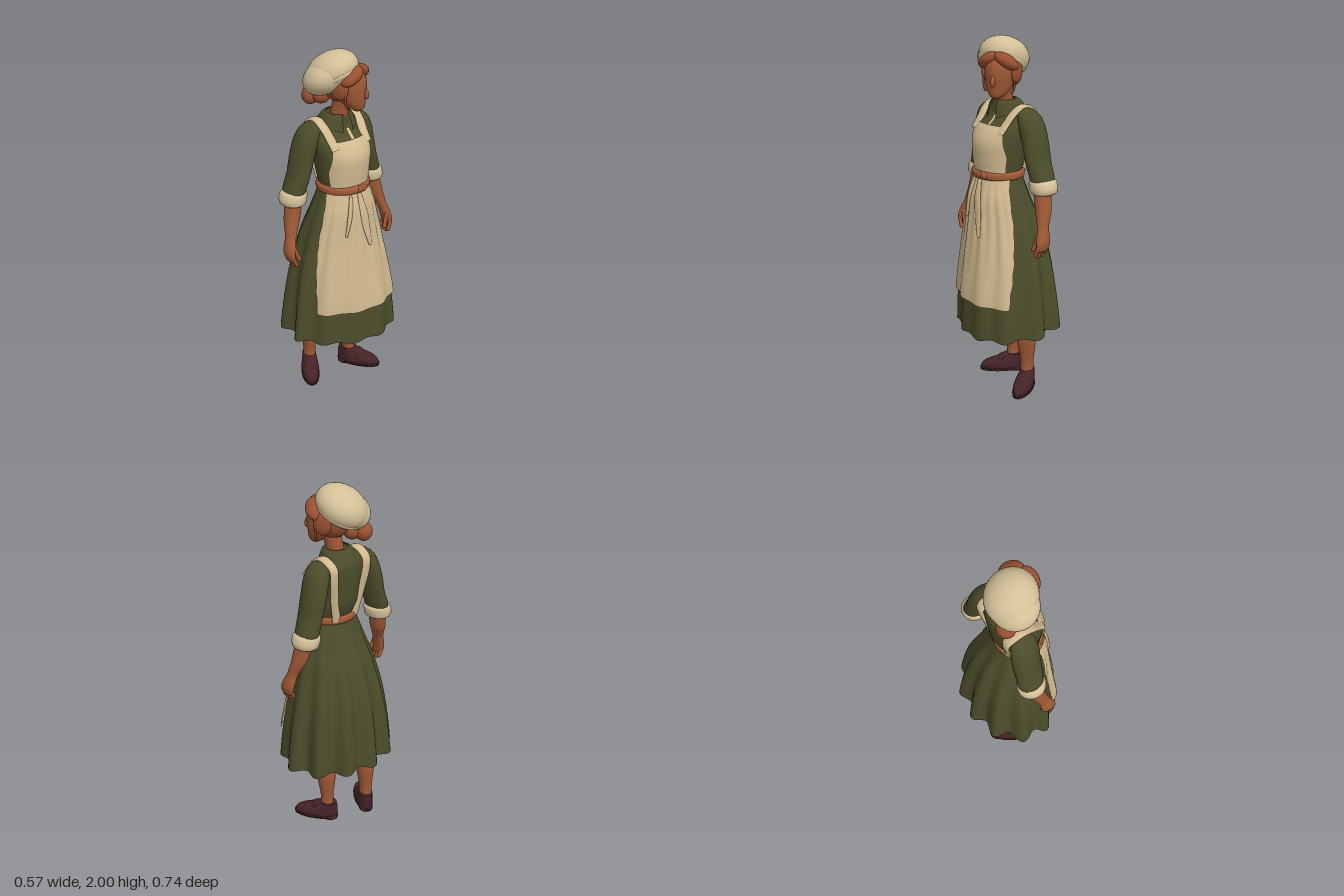
import * as THREE from 'three';
import { mergeVertices } from 'three/addons/utils/BufferGeometryUtils.js';

const TAU = Math.PI * 2;
const paint = (name, color, side = THREE.FrontSide) => {
  const m = new THREE.MeshStandardMaterial({ color, side });
  m.name = name;
  return m;
};
const green = paint('green cloth', 0x4c4c2b, THREE.DoubleSide);
const linen = paint('apron linen', 0xd2ba90, THREE.DoubleSide);
const cream = paint('cream cloth', 0xd4c098);
const skin = paint('skin', 0x9e5835);
const auburn = paint('auburn hair', 0x985030);
const leather = paint('belt leather', 0xa05a36);
const shoe = paint('shoe leather', 0x452327);

function add(parent, name, geometry, material) {
  const mesh = new THREE.Mesh(geometry, material);
  mesh.name = name;
  parent.add(mesh);
  return mesh;
}

// Smooth surface from fn(u, v); u runs around, v runs up
function grid(fn, nu, nv) {
  const pos = [], index = [];
  for (let i = 0; i <= nv; i++)
    for (let j = 0; j <= nu; j++) pos.push(...fn(j / nu, i / nv));
  for (let i = 0; i < nv; i++)
    for (let j = 0; j < nu; j++) {
      const a = i * (nu + 1) + j, d = a + nu + 1;
      index.push(a, a + 1, d + 1, a, d + 1, d);
    }
  let g = new THREE.BufferGeometry();
  g.setAttribute('position', new THREE.Float32BufferAttribute(pos, 3));
  g.setIndex(index);
  g = mergeVertices(g, 1e-5);
  g.computeVertexNormals();
  return g;
}

// Rows are [y, ...values] with y ascending; smooth values at height y
function sample(rows, y) {
  let i = 0;
  while (i < rows.length - 2 && y > rows[i + 1][0]) i++;
  const p = rows[Math.max(i - 1, 0)], a = rows[i], b = rows[i + 1], n = rows[Math.min(i + 2, rows.length - 1)];
  const t = THREE.MathUtils.clamp((y - a[0]) / (b[0] - a[0]), 0, 1);
  return a.slice(1).map((_, k) => {
    const [p0, p1, p2, p3] = [p[k + 1], a[k + 1], b[k + 1], n[k + 1]];
    return p1 + 0.5 * t * (p2 - p0 + t * (2 * p0 - 5 * p1 + 4 * p2 - p3 + t * (3 * (p1 - p2) + p3 - p0)));
  });
}

// Elliptic rings [y, x, z, rx, rz], capped at both ends
function loft(rows, seg = 28, steps = 24) {
  const y0 = rows[0][0], y1 = rows[rows.length - 1][0];
  return grid((u, v) => {
    const k = v * (steps + 2) - 1;
    const y = y0 + (y1 - y0) * THREE.MathUtils.clamp(k / steps, 0, 1);
    const [x, z, rx, rz] = sample(rows, y);
    const s = k < -0.5 || k > steps + 0.5 ? 0 : 1, f = (u % 1) * TAU;
    return [x + s * rx * Math.sin(f), y, z + s * rz * Math.cos(f)];
  }, seg, steps + 2);
}

function blob(parent, name, material, p, r, rot = [0, 0, 0]) {
  const m = add(parent, name, new THREE.SphereGeometry(1, 28, 18), material);
  m.position.set(...p);
  m.scale.set(...r);
  m.rotation.set(...rot);
  return m;
}

function capsule(parent, name, material, a, b, r) {
  const A = new THREE.Vector3(...a), B = new THREE.Vector3(...b), d = B.clone().sub(A);
  const m = add(parent, name, new THREE.CapsuleGeometry(r, d.length(), 5, 10), material);
  m.position.copy(A).add(B).multiplyScalar(0.5);
  m.quaternion.setFromUnitVectors(new THREE.Vector3(0, 1, 0), d.normalize());
}

// Flat band along a path, wide in x
function ribbon(points, w, t, width = () => 1) {
  const curve = new THREE.CatmullRomCurve3(points.map(p => new THREE.Vector3(...p)));
  return grid((u, v) => {
    const c = curve.getPoint(v), d = curve.getTangent(v), f = (u % 1) * TAU;
    const n = new THREE.Vector3(0, -d.z, d.y).normalize();
    const a = Math.cos(f) * w / 2 * width(v), b = -Math.sin(f) * t;
    return [c.x + a, c.y + n.y * b, c.z + n.z * b];
  }, 12, 36);
}

const torso = [[1.2, 0, 0.06, 0.135, 0.115], [1.28, 0, 0.055, 0.135, 0.118], [1.36, 0, 0.045, 0.145, 0.135],
  [1.45, 0, 0.04, 0.155, 0.14], [1.52, 0, 0.02, 0.165, 0.125], [1.58, 0, -0.01, 0.165, 0.095],
  [1.62, 0, -0.01, 0.12, 0.085], [1.66, 0, 0.01, 0.06, 0.06]];
const onTorso = (f, y, out) => {
  const [x, z, rx, rz] = sample(torso, y);
  return [x + (rx + out) * Math.sin(f), y, z + (rz + out) * Math.cos(f)];
};
const torsoAtX = (x, y, side, out) => {
  const [, z, rx, rz] = sample(torso, y);
  return [x, y, z + side * (rz * Math.sqrt(Math.max(0, 1 - (x / rx) ** 2)) + out)];
};

// Skirt half width, back and front by height
const skirt = [[0.36, 0.32, -0.262, 0.277], [0.6, 0.3, -0.243, 0.265], [0.8, 0.268, -0.213, 0.238],
  [1, 0.22, -0.16, 0.213], [1.15, 0.175, -0.1, 0.198], [1.28, 0.135, -0.062, 0.165]];
const hemY = f => 0.387 - 0.019 * Math.cos(f) + 0.006 * Math.cos(11 * f);
function onSkirt(f, y, out = 0) {
  const [w, back, front] = sample(skirt, y);
  const t = THREE.MathUtils.clamp((1.25 - y) / 0.85, 0, 1), c = Math.cos(f);
  const fold = 0.026 * t * (1 - 0.75 * Math.max(0, c)) * Math.cos(11 * f + 2.4 + 0.6 * Math.sin(2 * f));
  const x = (w + fold + out) * Math.sin(f);
  return [x, y, (front + back) / 2 + ((front - back) / 2 + fold + out) * c + 0.17 * x * t * Math.max(0, c)];
}

function buildHead() {
  const head = new THREE.Group();
  head.name = 'head';
  head.position.set(0.02, 1.8, 0.045);
  head.rotation.y = 0.47;
  add(head, 'face', loft([[-0.115, 0, 0.075, 0.022, 0.022], [-0.1, 0, 0.067, 0.042, 0.045], [-0.06, 0, 0.045, 0.066, 0.072],
    [0, 0, 0.03, 0.079, 0.093], [0.06, 0, 0.02, 0.08, 0.097], [0.1, 0, 0.01, 0.06, 0.08], [0.12, 0, 0, 0.02, 0.03]]), skin);
  blob(head, 'nose', skin, [0, -0.016, 0.12], [0.013, 0.032, 0.018], [-0.3, 0, 0]);
  blob(head, 'lips', skin, [0, -0.064, 0.108], [0.02, 0.011, 0.009]);
  blob(head, 'hairBack', auburn, [0, 0.02, -0.022], [0.094, 0.1, 0.1]);
  for (const s of [-1, 1]) {
    blob(head, 'ear', skin, [s * 0.083, -0.02, 0.012], [0.012, 0.028, 0.018]);
    blob(head, 'hairSweep', auburn, [s * 0.05, 0.083, 0.063], [0.072, 0.036, 0.05], [0, s * 0.45, -s * 0.55]);
    blob(head, 'hairSide', auburn, [s * 0.085, 0.018, 0.008], [0.024, 0.062, 0.052]);
    const lock = new THREE.CatmullRomCurve3([[0.088, 0.02, 0.045], [0.09, -0.03, 0.045], [0.084, -0.07, 0.045], [0.074, -0.088, 0.05]]
      .map(p => new THREE.Vector3(s * p[0], p[1], p[2])));
    add(head, 'looseLock', new THREE.TubeGeometry(lock, 12, 0.006, 6), auburn);
  }
  blob(head, 'bun', auburn, [-0.05, -0.05, -0.172], [0.052, 0.05, 0.046]);
  blob(head, 'bunCoil', auburn, [-0.035, -0.042, -0.115], [0.06, 0.05, 0.05]);

  // Soft cap tilted to the back of the head
  const cap = new THREE.Group();
  cap.name = 'cap';
  cap.position.set(-0.02, 0.087, -0.062);
  cap.rotation.x = -0.5;
  blob(cap, 'capCrown', cream, [0.002, 0, 0.002], [0.136, 0.103, 0.147]);
  blob(cap, 'capSag', cream, [-0.03, -0.012, -0.032], [0.128, 0.09, 0.126]);
  const band = add(cap, 'capBand', new THREE.TorusGeometry(0.11, 0.019, 10, 40), cream);
  band.rotation.x = Math.PI / 2;
  band.scale.set(1, 1.1, 1);
  band.position.y = -0.036;
  head.add(cap);
  return head;
}

function buildArm(s) {
  const arm = new THREE.Group();
  arm.name = s > 0 ? 'leftArm' : 'rightArm';
  const side = rows => rows.map(([y, x, ...r]) => [y, s * x, ...r]);
  add(arm, 'sleeve', loft(side([[1.2, 0.272, -0.035, 0.056, 0.064], [1.27, 0.256, -0.035, 0.058, 0.073], [1.35, 0.23, -0.03, 0.056, 0.077],
    [1.45, 0.206, -0.03, 0.06, 0.079], [1.53, 0.185, -0.025, 0.06, 0.078], [1.59, 0.163, -0.02, 0.055, 0.068],
    [1.622, 0.14, -0.015, 0.038, 0.045], [1.635, 0.13, -0.015, 0.015, 0.02]])), green);
  add(arm, 'cuff', loft(side([[1.185, 0.27, -0.035, 0.055, 0.062], [1.195, 0.27, -0.035, 0.068, 0.075], [1.22, 0.268, -0.035, 0.074, 0.08],
    [1.25, 0.262, -0.035, 0.07, 0.077], [1.265, 0.26, -0.035, 0.056, 0.064]])), cream);
  add(arm, 'forearm', loft(side([[0.895, 0.344, 0.035, 0.015, 0.036], [0.93, 0.347, 0.032, 0.022, 0.044], [0.97, 0.339, 0.025, 0.026, 0.041],
    [1.02, 0.322, 0.012, 0.028, 0.034], [1.1, 0.295, -0.012, 0.042, 0.045], [1.22, 0.27, -0.025, 0.046, 0.05]])), skin);
  for (let i = 0; i < 4; i++) {
    const z = 0.004 + i * 0.021, tip = 0.864 + [0.018, 0.004, 0, 0.008][i];
    capsule(arm, 'finger', skin, [s * 0.348, 0.92, z], [s * 0.328, tip, z + 0.002], 0.0105);
  }
  capsule(arm, 'thumb', skin, [s * 0.33, 0.965, 0.052], [s * 0.305, 0.9, 0.064], 0.012);
  return arm;
}

function buildLeg(s, x, z) {
  const leg = new THREE.Group();
  leg.name = s > 0 ? 'leftLeg' : 'rightLeg';
  leg.position.set(x, 0, z);
  add(leg, 'shin', loft([[0.05, 0, 0, 0.036, 0.042], [0.15, 0, 0.002, 0.034, 0.039], [0.27, 0, 0.006, 0.051, 0.052],
    [0.38, -s * 0.004, 0.014, 0.062, 0.055], [0.46, -s * 0.006, 0.02, 0.066, 0.06]]), skin);
  const foot = new THREE.Group();
  foot.name = 'foot';
  foot.rotation.y = s * 0.57;
  add(foot, 'shoeUpper', loft([[0.015, 0, 0.066, 0.049, 0.126], [0.04, 0, 0.064, 0.051, 0.125], [0.06, 0, 0.053, 0.049, 0.113],
    [0.08, 0, 0.02, 0.044, 0.08], [0.108, 0, -0.005, 0.039, 0.05]]), shoe);
  add(foot, 'sole', loft([[0.006, 0, 0.067, 0.051, 0.129], [0.022, 0, 0.067, 0.053, 0.131]], 28, 2), shoe);
  add(foot, 'heel', loft([[0, 0, -0.015, 0.04, 0.046], [0.02, 0, -0.015, 0.041, 0.047]], 24, 2), shoe);
  blob(foot, 'shoeTongue', shoe, [0, 0.08, 0.07], [0.036, 0.016, 0.038], [0.5, 0, 0]);
  leg.add(foot);
  return leg;
}

export function createModel() {
  const model = new THREE.Group();
  model.name = 'woman';
  const body = new THREE.Group();
  body.name = 'body';
  body.rotation.y = Math.PI / 2; // the figure looks along +x
  model.add(body);

  // Dress
  add(body, 'bodice', loft(torso, 40, 32), green);
  add(body, 'skirt', grid((u, v) => {
    const f = (u % 1) * TAU, hem = hemY(f);
    return onSkirt(f, hem + (1.28 - hem) * v);
  }, 132, 30), green);
  add(body, 'skirtUnderside', grid((u, v) => {
    const f = (u % 1) * TAU, [x, y, z] = onSkirt(f, hemY(f));
    return [x * v, 0.42 + (y - 0.42) * v ** 4, z * v];
  }, 132, 10), green);
  add(body, 'collar', grid((u, v) => {
    const f = 0.3 + u * (TAU - 0.6), low = 1.61 - 0.04 * Math.max(0, Math.cos(f)) ** 2, r = 1 - v;
    return [(0.061 + 0.045 * r) * Math.sin(f), low + (1.667 - low) * (1 - r * r), 0.015 - 0.013 * r + (0.063 + 0.042 * r) * Math.cos(f)];
  }, 40, 6), green);

  // Apron with bib, shoulder straps and ties
  add(body, 'apronSkirt', grid((u, v) => {
    const y = 0.565 + 0.69 * v, f = (u * 2 - 1) * (0.94 + 0.28 * v + 0.01 * Math.sin(v * 40));
    return onSkirt(f, y, 0.013 + 0.006 * v * Math.sin(Math.PI * v) * Math.cos(24 * f));
  }, 60, 30), linen);
  add(body, 'apronBib', grid((u, v) => {
    const y = 1.27 + 0.27 * v, half = 1.1 - 0.4 * Math.max(0, v - 0.4) / 0.6;
    return onTorso((u * 2 - 1) * half, y, 0.011);
  }, 30, 16), linen);
  add(body, 'neckPlacket', grid((u, v) => onTorso((u - 0.5) * 0.1 + 0.06, 1.54 + 0.05 * v, 0.007), 4, 6), linen);
  for (const s of [-1, 1]) {
    const path = [torsoAtX(0.105, 1.5, 1, 0.008), torsoAtX(0.11, 1.55, 1, 0.008), torsoAtX(0.118, 1.6, 1, 0.014), [0.122, 1.637, -0.012],
      torsoAtX(0.118, 1.6, -1, 0.022), torsoAtX(0.114, 1.53, -1, 0.02), torsoAtX(0.1, 1.43, -1, 0.012), torsoAtX(0.065, 1.27, -1, 0.008)];
    add(body, 'apronStrap', ribbon(path.map(p => [s * p[0], p[1], p[2]]), 0.056, 0.012), linen);
  }
  for (const [f0, f1, end, w] of [[0.03, 0.2, 0.94, 0.052], [-0.3, -0.42, 1.02, 0.03]]) {
    const path = [0, 1, 2, 3].map(i => onSkirt(f0 + (f1 - f0) * i / 3, 1.25 + (end - 1.25) * i / 3, 0.018));
    add(body, 'apronTie', ribbon(path, w, 0.008, v => 0.35 + 0.65 * Math.sin(Math.PI * Math.min(1, v * 0.95 + 0.05))), linen);
  }

  // Belt with knot
  add(body, 'belt', loft([[1.248, 0, 0.06, 0.14, 0.127], [1.255, 0, 0.06, 0.15, 0.138], [1.285, 0, 0.06, 0.15, 0.138],
    [1.293, 0, 0.06, 0.138, 0.125]], 44, 10), leather);
  blob(body, 'beltKnot', leather, [0.008, 1.272, 0.195], [0.018, 0.021, 0.012]);
  for (const s of [-1, 1]) blob(body, 'beltLoop', leather, [0.008 + s * 0.03, 1.27, 0.19], [0.026, 0.018, 0.011], [0, s * 0.2, 0]);

  // Neck, head and limbs
  add(body, 'neck', loft([[1.58, 0, 0.01, 0.06, 0.06], [1.66, 0.005, 0.022, 0.048, 0.05], [1.76, 0.015, 0.04, 0.05, 0.052]]), skin);
  body.add(buildHead(), buildArm(1), buildArm(-1), buildLeg(1, 0.13, -0.045), buildLeg(-1, -0.098, -0.13));
  return model;
}
